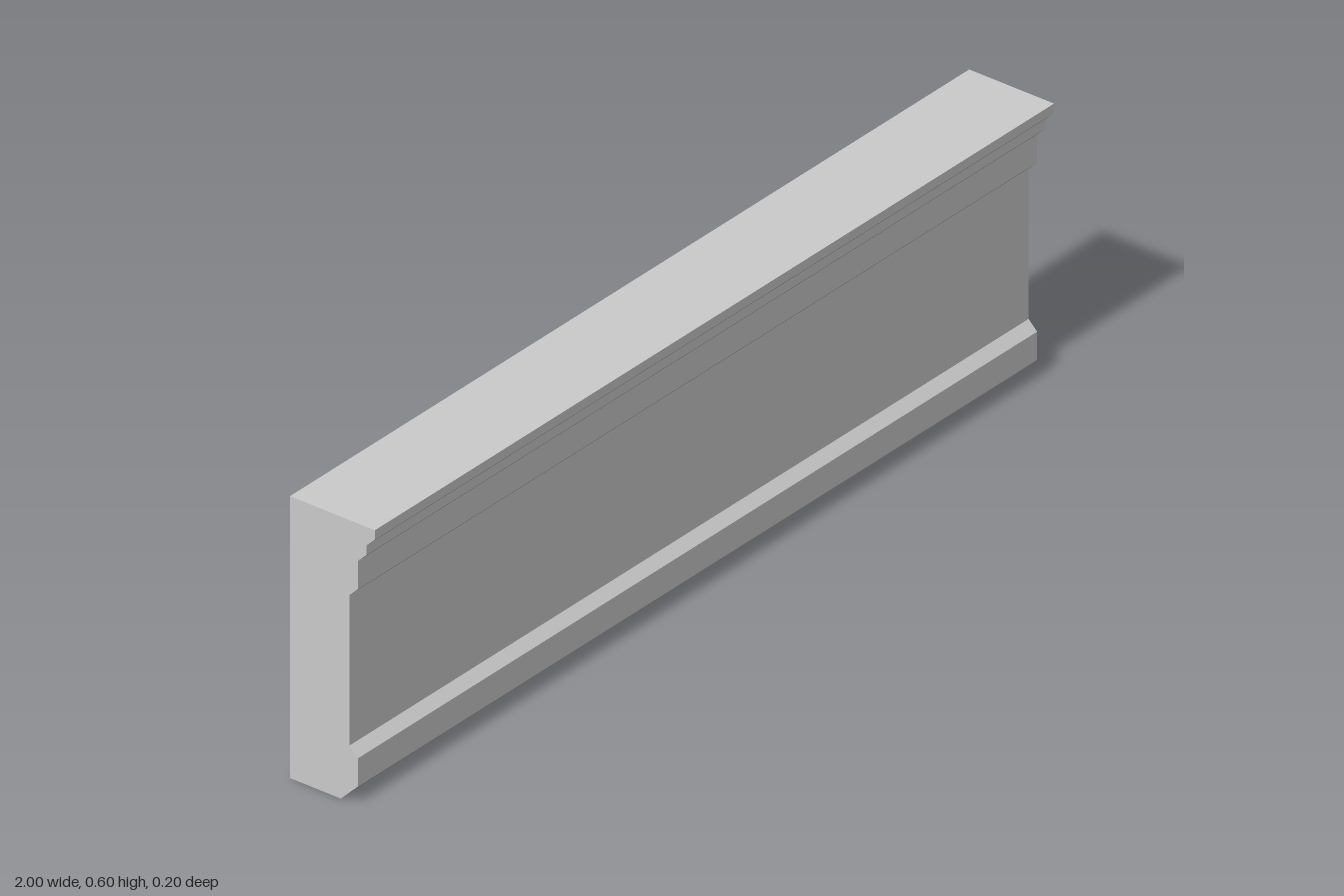
import * as THREE from 'three';

const LENGTH = 2;

// Moulding cross-section as [z, y], from the back bottom corner up the front
const PROFILE = [
  [-0.1, 0], [0.02, 0],
  [0.06, 0.04], [0.06, 0.1],               // chamfered foot band
  [0.04, 0.12], [0.04, 0.44],              // flat recessed panel
  [0.06, 0.46], [0.06, 0.52],              // upper band
  [0.08, 0.54], [0.08, 0.56],              // small step
  [0.1, 0.58], [0.1, 0.6],                 // top lip
  [-0.1, 0.6],
];

export function createModel() {
  const stone = new THREE.MeshStandardMaterial({ color: 0xcccccc });
  stone.name = 'light grey stone';

  // Straight moulding: the profile swept along x
  const shape = new THREE.Shape(PROFILE.map(([z, y]) => new THREE.Vector2(z, y)));
  const geometry = new THREE.ExtrudeGeometry(shape, { depth: LENGTH, bevelEnabled: false });
  geometry.rotateY(-Math.PI / 2);
  geometry.translate(LENGTH / 2, 0, 0);

  const moulding = new THREE.Mesh(geometry, stone);
  moulding.name = 'moulding';

  const model = new THREE.Group();
  model.name = 'wallTrim';
  model.add(moulding);
  return model;
}
